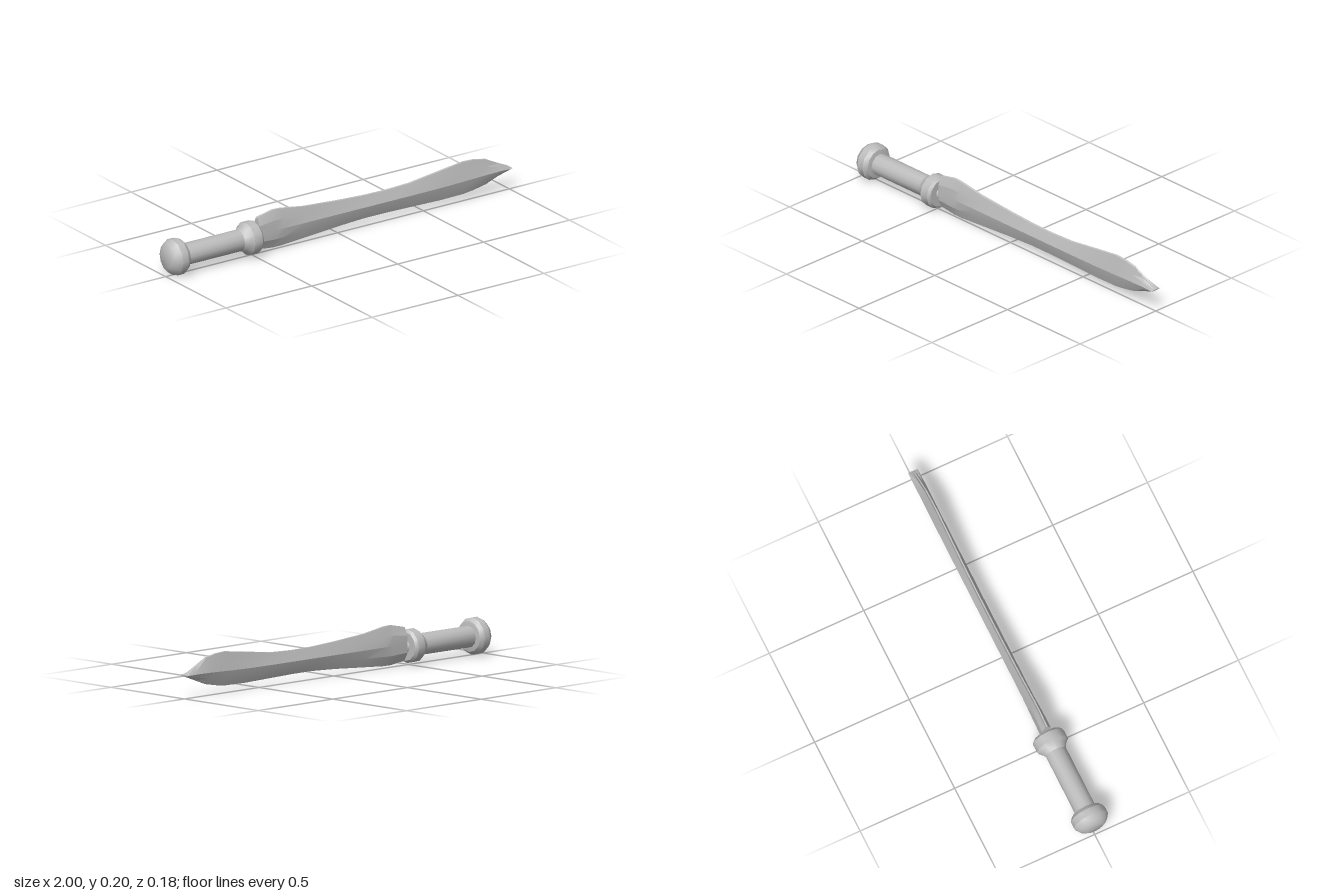
import * as THREE from 'three';
import { toCreasedNormals } from 'three/addons/utils/BufferGeometryUtils.js';

const steel = new THREE.MeshStandardMaterial({ color: 0xbcbcbc });
steel.name = 'grey steel';

// Twelve-sided turned part along x; profile holds [x, radius] pairs
function turned(name, profile) {
  const points = profile.map(([x, r]) => new THREE.Vector2(r, x));
  const geometry = new THREE.LatheGeometry(points, 12).rotateZ(-Math.PI / 2).translate(0, 0.09, 0);
  const mesh = new THREE.Mesh(toCreasedNormals(geometry, 0.6), steel);
  mesh.name = name;
  return mesh;
}

// Blade stations: x, bottom edge, ridge height, top edge, flank fullness
const stations = [
  [-0.47, 0.022, 0.105, 0.185, 0.024],
  [-0.38, 0.011, 0.105, 0.204, 0.022],
  [-0.33, 0.011, 0.105, 0.201, 0.020],
  [-0.2, 0.02, 0.105, 0.181, 0.017],
  [0, 0.034, 0.105, 0.166, 0.016],
  [0.15, 0.041, 0.105, 0.158, 0.016],
  [0.28, 0.041, 0.105, 0.156, 0.016],
  [0.42, 0.038, 0.105, 0.161, 0.016],
  [0.6, 0.034, 0.106, 0.184, 0.016],
  [0.73, 0.036, 0.109, 0.2, 0.016],
  [0.79, 0.043, 0.111, 0.197, 0.016],
  [0.86, 0.056, 0.113, 0.184, 0.016],
  [0.93, 0.082, 0.114, 0.149, 0.018],
  [1, 0.11, 0.113, 0.116, 0.022],
];

// Ring of one station: grooved spine, thick ridge, narrow lower edge
function section([x, low, ridge, high, flank]) {
  const groove = Math.min(0.006, (high - ridge) * 0.3);
  const side = [
    [high, 0.006], [(high + ridge) / 2, flank], [ridge, 0.026],
    [(low + ridge) / 2, flank + 0.001], [low, 0.004],
  ];
  return [
    [x, high - groove, 0],
    ...side.map(([y, z]) => [x, y, z]),
    ...side.slice().reverse().map(([y, z]) => [x, y, -z]),
  ];
}

function bladeGeometry() {
  const rings = stations.map(section);
  const n = rings[0].length;
  const last = rings.length - 1;
  const positions = rings.flat(2);
  const index = [];
  for (let i = 0; i < last; i++) {
    for (let j = 0; j < n; j++) {
      const a = i * n + j;
      const b = i * n + (j + 1) % n;
      index.push(a, b, a + n, b, b + n, a + n);
    }
  }
  // End caps fan out from the ridge line
  const hub = rings.length * n;
  for (const s of [0, last]) positions.push(stations[s][0], stations[s][2], 0);
  for (let j = 0; j < n; j++) {
    const k = (j + 1) % n;
    index.push(hub, k, j, hub + 1, last * n + j, last * n + k);
  }
  const geometry = new THREE.BufferGeometry();
  geometry.setAttribute('position', new THREE.Float32BufferAttribute(positions, 3));
  geometry.setIndex(index);
  return toCreasedNormals(geometry, 0.2);
}

export function createModel() {
  const model = new THREE.Group();
  model.name = 'sword';

  // Domed pommel, plain grip and flared guard
  model.add(turned('pommel', [
    [-1, 0], [-1, 0.048], [-0.985, 0.072], [-0.96, 0.09],
    [-0.925, 0.09], [-0.905, 0.075], [-0.9, 0.053], [-0.9, 0],
  ]));
  model.add(turned('grip', [[-0.905, 0.053], [-0.56, 0.053]]));
  model.add(turned('guard', [
    [-0.575, 0.053], [-0.555, 0.062], [-0.535, 0.082], [-0.49, 0.082],
    [-0.477, 0.07], [-0.477, 0],
  ]));

  // Short tang joining the blade to the guard
  model.add(turned('tang', [[-0.48, 0.034], [-0.465, 0.024], [-0.45, 0]]));

  const blade = new THREE.Mesh(bladeGeometry(), steel);
  blade.name = 'blade';
  model.add(blade);
  return model;
}
